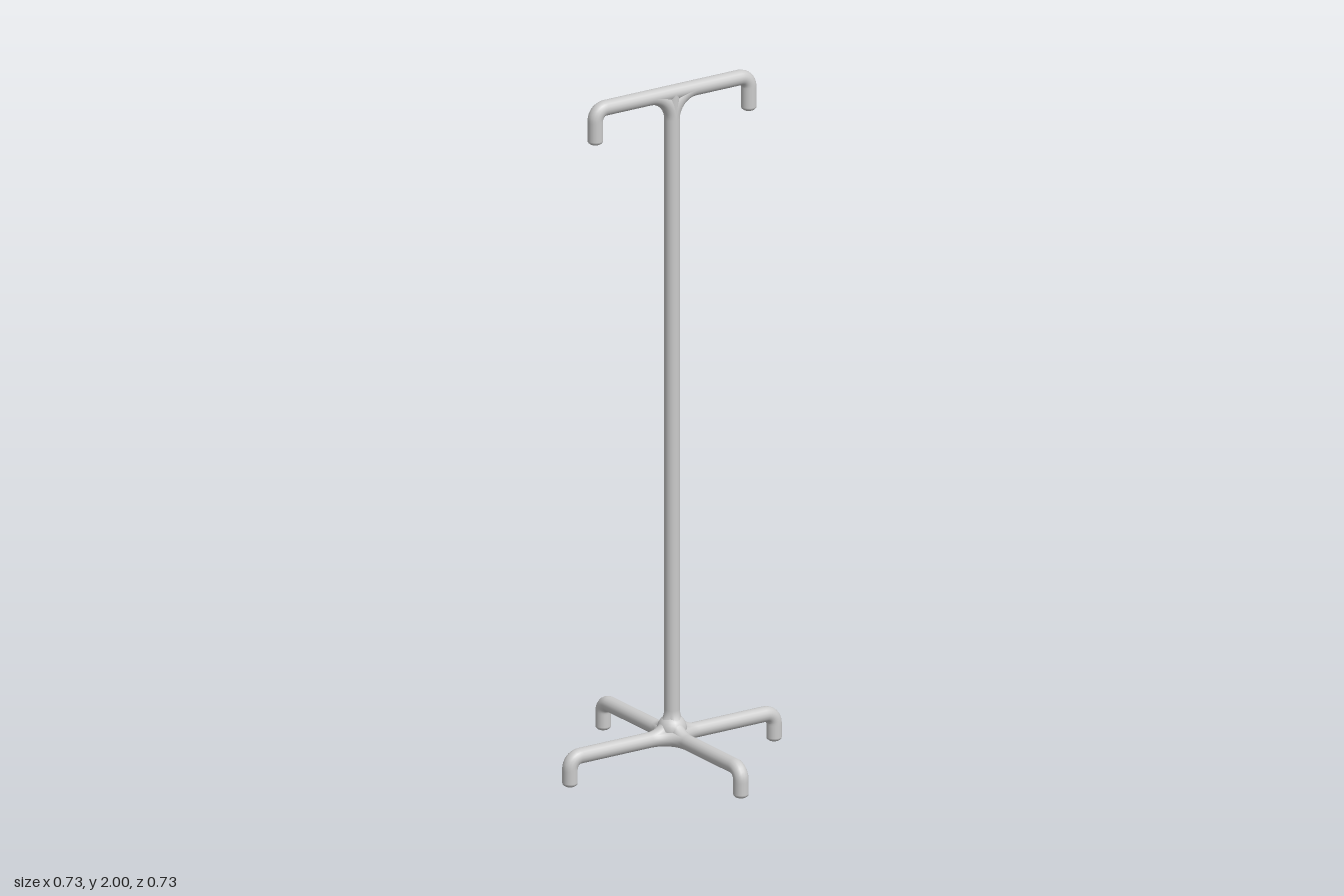
import * as THREE from 'three';

const R = 0.022;        // pipe radius
const BASE_Y = 0.085;   // axis height of the foot arms
const TOP_Y = 1.978;    // axis height of the top bar
const material = new THREE.MeshStandardMaterial({ color: 0xcccccc });

function part(geometry, name) {
  const mesh = new THREE.Mesh(geometry, material);
  mesh.name = name;
  return mesh;
}

// Quarter-circle path from one point to another around a corner
function bend(from, corner, to) {
  const k = 0.5523;
  return new THREE.CubicBezierCurve3(
    from, from.clone().lerp(corner, k), to.clone().lerp(corner, k), to);
}

// Horizontal pipe along +x that turns down and ends in a blunt rounded tip
function hookedArm(length, drop, name) {
  const b = 0.032, tip = 0.013;
  const a = new THREE.Vector3(length - b, 0, 0);
  const c = new THREE.Vector3(length, -b, 0);
  const end = new THREE.Vector3(length, -drop + tip, 0);
  const path = new THREE.CurvePath();
  path.add(new THREE.LineCurve3(new THREE.Vector3(), a));
  path.add(bend(a, new THREE.Vector3(length, 0, 0), c));
  path.add(new THREE.LineCurve3(c, end));
  const arm = new THREE.Group();
  arm.name = name;
  arm.add(part(new THREE.TubeGeometry(path, 56, R, 16), name + 'Pipe'));
  const cap = part(new THREE.SphereGeometry(R, 16, 6, 0, Math.PI * 2, Math.PI / 2, Math.PI / 2), name + 'Tip');
  cap.scale.y = tip / R;
  cap.position.copy(end);
  arm.add(cap);
  return arm;
}

// Curved web that blends two perpendicular pipes meeting at the origin
function fillet(dirA, dirB, name) {
  const size = 0.077;
  const from = dirA.clone().multiplyScalar(size);
  const to = dirB.clone().multiplyScalar(size);
  return part(new THREE.TubeGeometry(bend(from, new THREE.Vector3(), to), 16, R, 16), name);
}

export function createModel() {
  const model = new THREE.Group();
  model.name = 'stand';
  const up = new THREE.Vector3(0, 1, 0);
  const down = new THREE.Vector3(0, -1, 0);
  const heading = (i) => new THREE.Vector3(1, 0, 0).applyAxisAngle(up, i * Math.PI / 2);

  // Upright pole
  const pole = part(new THREE.CylinderGeometry(R, R, TOP_Y - BASE_Y, 16, 1, true), 'pole');
  pole.position.y = (TOP_Y + BASE_Y) / 2;
  model.add(pole);

  // Four-footed base with blended hub
  const base = new THREE.Group();
  base.name = 'base';
  base.position.y = BASE_Y;
  for (let i = 0; i < 4; i++) {
    const foot = hookedArm(0.342, BASE_Y, 'foot');
    foot.rotation.y = i * Math.PI / 2;
    base.add(foot);
    base.add(fillet(up, heading(i), 'poleFillet'));
    base.add(fillet(heading(i), heading(i + 1), 'footFillet'));
  }
  const hub = part(new THREE.SphereGeometry(0.042, 20, 14), 'hub');
  hub.position.y = 0.02;
  base.add(hub);
  model.add(base);

  // Top bar with a hook at each end
  const top = new THREE.Group();
  top.name = 'topBar';
  top.position.y = TOP_Y;
  for (const i of [0, 2]) {
    const hook = hookedArm(0.257, 0.103, 'hook');
    hook.rotation.y = i * Math.PI / 2;
    top.add(hook);
    top.add(fillet(down, heading(i), 'barFillet'));
  }
  model.add(top);

  return model;
}
